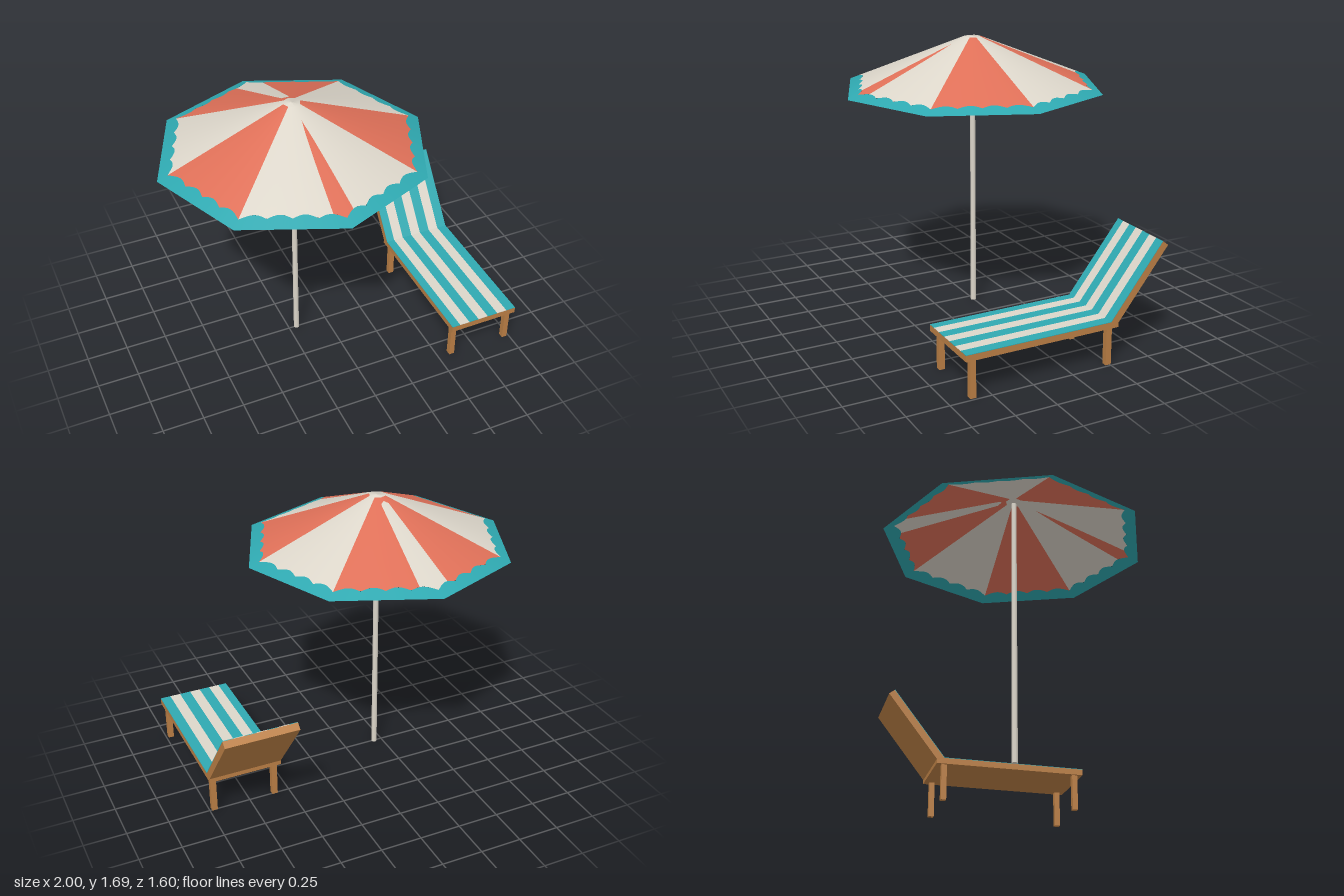
import * as THREE from 'three';

const material = (name, color, side = THREE.FrontSide) => {
  const m = new THREE.MeshStandardMaterial({ color, side });
  m.name = name;
  return m;
};

const Q = Math.PI / 4;                 // one octagon side, as an angle
const RADIUS = 0.8, RIM_Y = 1.385, TOP_Y = 1.69, CAP = 0.0625;

// distance from the pole to the octagon's edge at an angle
const edge = (a) => RADIUS * Math.cos(Q / 2) / Math.cos((((a % Q) + Q) % Q) - Q / 2);
// inner border of the scalloped rim, four scallops on each side
const scallop = (a) => 0.922 - 0.03 * Math.abs(Math.sin(a * 16));

// Canopy patch between two angles (functions of radius) and two radius fractions (functions of angle)
function canopyPatch(from, to, inner, outer, cols, rows) {
  const pos = [], nor = [], idx = [];
  for (let j = 0; j <= rows; j++) {
    const t = j / rows;
    const f0 = THREE.MathUtils.lerp(inner(0), outer(0), t);
    for (let i = 0; i <= cols; i++) {
      const a = THREE.MathUtils.lerp(from(f0), to(f0), i / cols);
      const f = THREE.MathUtils.lerp(inner(a), outer(a), t);
      const r = edge(a) * f;
      const y = TOP_Y - Math.max(0, f - CAP) / (1 - CAP) * (TOP_Y - RIM_Y);
      pos.push(Math.cos(a) * r, y, Math.sin(a) * r);
      nor.push(Math.cos(a) * 0.377, 0.926, Math.sin(a) * 0.377);
      if (i < cols && j < rows) {
        const p = j * (cols + 1) + i, q = p + cols + 1;
        idx.push(p, p + 1, q + 1, p, q + 1, q);
      }
    }
  }
  const g = new THREE.BufferGeometry();
  g.setAttribute('position', new THREE.Float32BufferAttribute(pos, 3));
  g.setAttribute('normal', new THREE.Float32BufferAttribute(nor, 3));
  g.setIndex(idx);
  return g;
}

export function createModel() {
  const coral = material('coral cloth', 0xdf7058, THREE.DoubleSide);
  const cream = material('cream cloth', 0xdcd6ca, THREE.DoubleSide);
  const teal = material('teal cloth', 0x2fa9b1, THREE.DoubleSide);
  const wood = material('wood', 0xbb7f45);

  const model = new THREE.Group();
  model.name = 'beachSet';
  const add = (parent, name, geometry, mat, x = 0, y = 0, z = 0) => {
    const mesh = new THREE.Mesh(geometry, mat);
    mesh.name = name;
    mesh.position.set(x, y, z);
    parent.add(mesh);
    return mesh;
  };
  const box = (parent, name, mat, w, h, d, x, y, z) =>
    add(parent, name, new THREE.BoxGeometry(w, h, d), mat, x, y, z);

  // Parasol
  const parasol = new THREE.Group();
  parasol.name = 'parasol';
  parasol.position.x = -0.2;
  model.add(parasol);
  add(parasol, 'pole', new THREE.CylinderGeometry(0.016, 0.018, 1.68, 8), cream, 0, 0.84, 0);

  // Half angles of the narrow front and back wedges
  const front = (f) => f < 0.19 ? 0 : 0.06 * Math.pow((f - 0.19) / 0.72, 0.8) / (RADIUS * f);
  const back = (f) => f < 0.11 ? 0 : (0.015 + 0.083 * f) / (RADIUS * f);
  const at = (k, spread = null, sign = 1) => (f) => k * Q + (spread ? sign * spread(f) : 0);
  const panels = [
    [at(0), at(1), coral],
    [at(1), at(2, front, -1), cream],
    [at(2, front, -1), at(2, front), coral],
    [at(2, front), at(3), cream],
    [at(3), at(4), coral],
    [at(4), at(5), cream],
    [at(5), at(6, back, -1), coral],
    [at(6, back, -1), at(6, back), cream],
    [at(6, back), at(7), coral],
    [at(7), at(8), cream],
  ];
  for (const [from, to, mat] of panels)
    add(parasol, 'canopyPanel', canopyPatch(from, to, () => CAP, scallop, 32, 24), mat);
  add(parasol, 'canopyRim', canopyPatch(at(0), at(8), scallop, () => 1, 256, 1), teal);
  add(parasol, 'canopyCap', canopyPatch(at(0), at(8), () => 0, () => CAP, 8, 1), cream);

  // Lounger
  const lounger = new THREE.Group();
  lounger.name = 'lounger';
  lounger.position.x = 0.78;
  model.add(lounger);
  box(lounger, 'seatFrame', wood, 0.44, 0.037, 0.945, 0, 0.2435, 0.1825);
  for (const x of [-0.19, 0.19])
    for (const z of [0.607, -0.24])
      box(lounger, 'leg', wood, 0.034, 0.226, 0.034, x, 0.113, z);

  // Reclined backrest, pivoting where its front face meets the seat
  const backrest = new THREE.Group();
  backrest.name = 'backrest';
  backrest.position.set(0, 0.262, -0.24);
  backrest.rotation.x = -Math.atan2(0.33, 0.423);
  lounger.add(backrest);
  box(backrest, 'backFrame', wood, 0.44, 0.535, 0.044, 0, 0.2675, -0.024);

  // Striped cloth on seat and backrest
  const bounds = [-0.22, -0.168, -0.104, -0.04, 0.025, 0.092, 0.157, 0.22];
  for (let i = 0; i < 7; i++) {
    const w = bounds[i + 1] - bounds[i], x = (bounds[i] + bounds[i + 1]) / 2;
    const mat = i % 2 ? cream : teal;
    box(lounger, 'seatStripe', mat, w, 0.003, 0.895, x, 0.2635, 0.2075);
    box(backrest, 'backStripe', mat, w, 0.535, 0.003, x, 0.2675, -0.0005);
  }
  return model;
}
